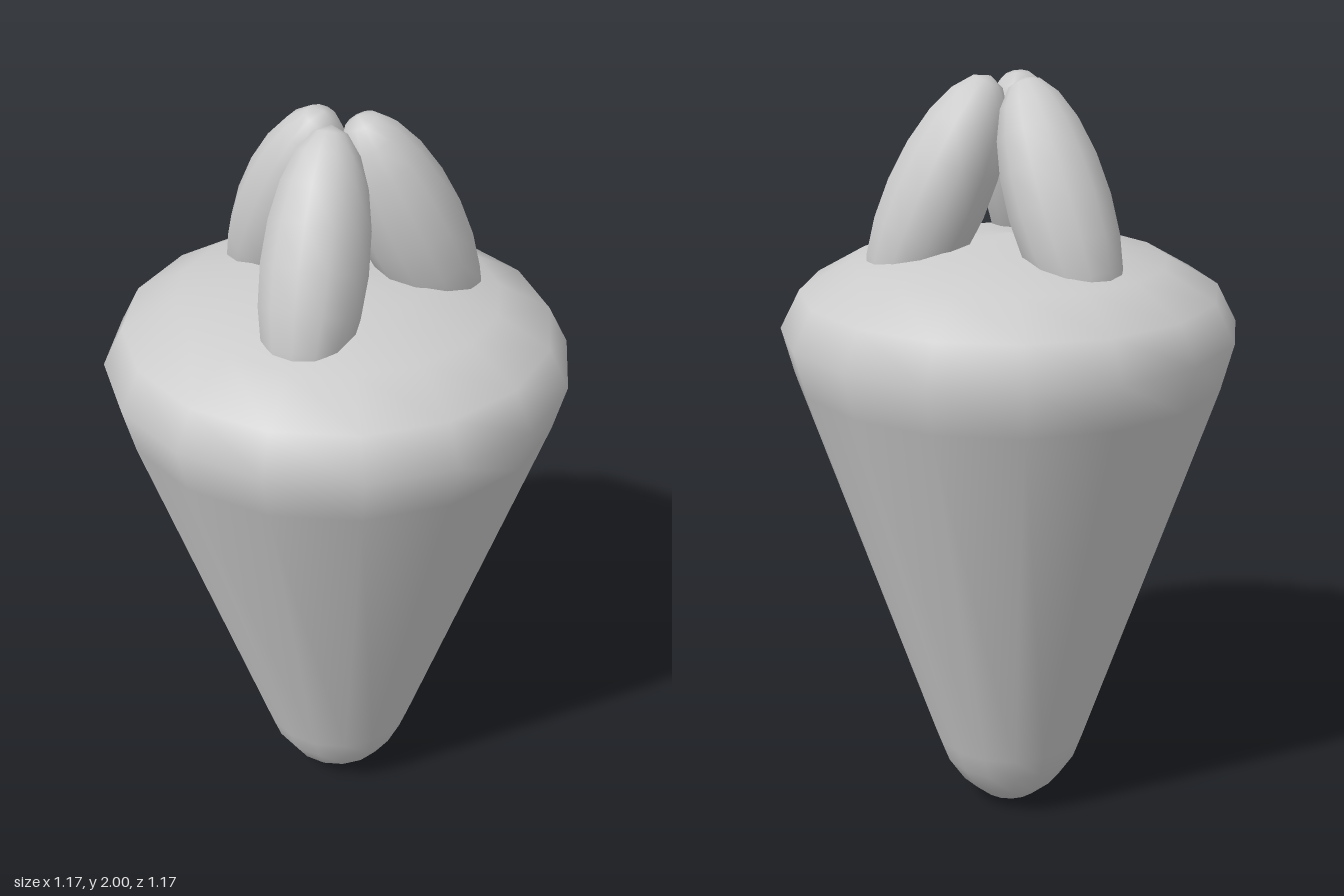
import * as THREE from 'three';

export function createModel() {
  const group = new THREE.Group();
  const material = new THREE.MeshStandardMaterial({ color: 0xcccccc });

  // Tapered root with a rounded tip and a domed top
  const profile = [
    [0, 0], [0.08, 0.02], [0.14, 0.075], [0.185, 0.145], [0.208, 0.21],
    [0.552, 1.25], [0.583, 1.37], [0.532, 1.468], [0.4, 1.543], [0.22, 1.588], [0, 1.608],
  ].map(([r, y]) => new THREE.Vector2(r, y));
  const root = new THREE.Mesh(new THREE.LatheGeometry(profile, 16), material);
  root.name = 'root';
  group.add(root);

  // Three long leaves leaning in to meet above the middle
  const leafGeometry = new THREE.SphereGeometry(1, 12, 10);
  leafGeometry.scale(0.13, 0.326, 0.13);
  leafGeometry.rotateX(-THREE.MathUtils.degToRad(25));
  leafGeometry.translate(0, 1.7, 0.185);
  ['frontLeaf', 'backLeftLeaf', 'backRightLeaf'].forEach((name, i) => {
    const leaf = new THREE.Mesh(leafGeometry, material);
    leaf.name = name;
    leaf.rotation.y = (i * Math.PI * 2) / 3;
    group.add(leaf);
  });

  return group;
}
